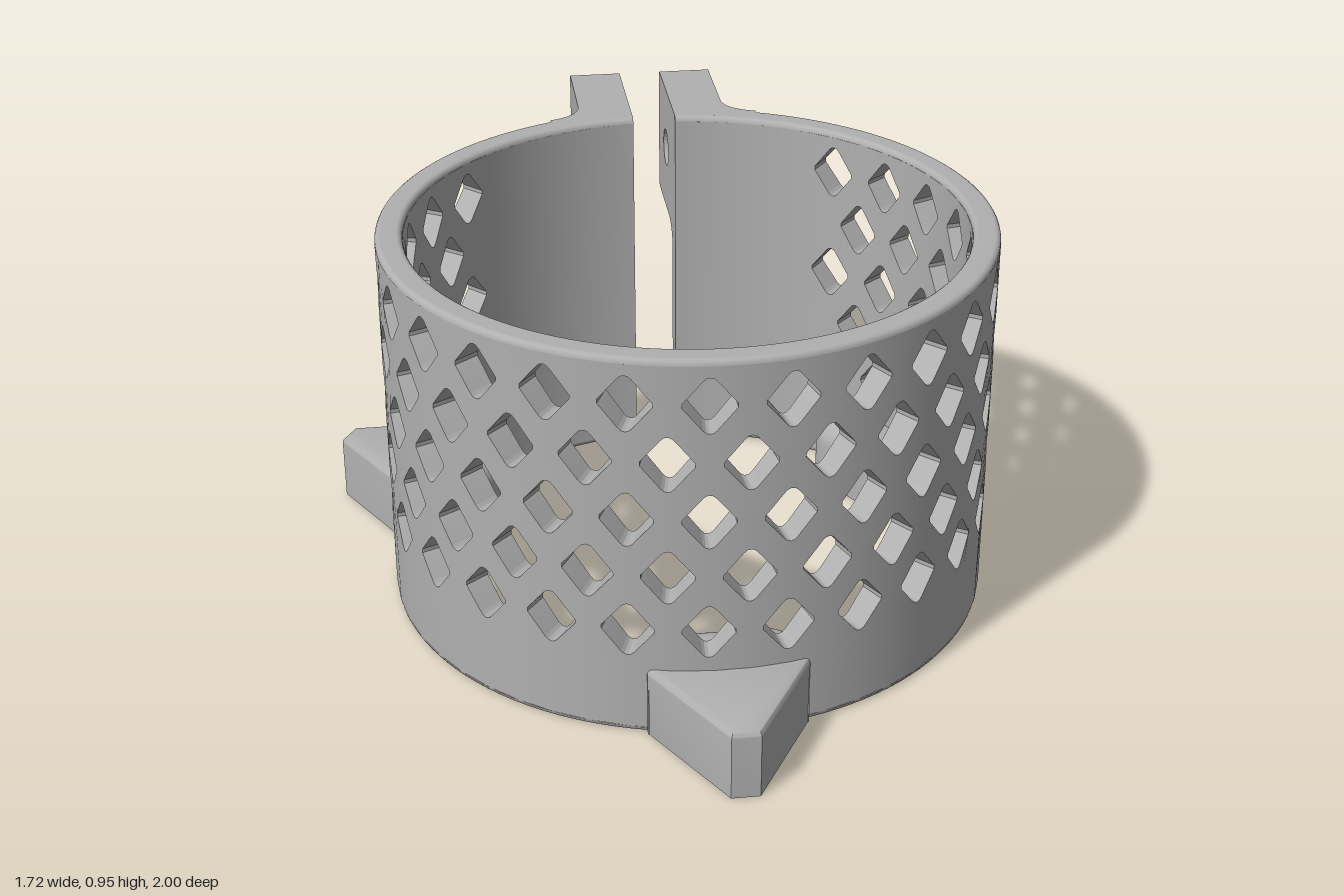
import * as THREE from 'three';
import { mergeGeometries, toCreasedNormals } from 'three/addons/utils/BufferGeometryUtils.js';

const OUTER = 0.735, INNER = 0.67, HEIGHT = 0.95, CENTRE_Z = 0.025;
const GAP = 0.055, RIM = 0.014;
const GAP_ANGLE = Math.asin(GAP / OUTER);
const rad = THREE.MathUtils.degToRad;

// Keep the clamp gap parallel-sided
function clampGap(geo) {
  const p = geo.attributes.position;
  for (let i = 0; i < p.count; i++) {
    const x = p.getX(i);
    if (p.getZ(i) < 0 && Math.abs(x) < GAP) p.setX(i, Math.sign(x) * GAP);
  }
  return geo;
}

// Wrap a flat panel (x = arc length, z = thickness) around the cylinder
function bend(geo) {
  const p = geo.attributes.position, n = geo.attributes.normal;
  for (let i = 0; i < p.count; i++) {
    const a = p.getX(i) / OUTER, r = INNER + p.getZ(i);
    const s = Math.sin(a), c = Math.cos(a), nx = n.getX(i), nz = n.getZ(i);
    p.setXYZ(i, r * s, p.getY(i), r * c);
    n.setXYZ(i, nx * c + nz * s, n.getY(i), -nx * s + nz * c);
  }
  return clampGap(geo);
}

// Half of a rounded diamond opening: [distance from its axis, height]
const upper = [[0.060, 0.005], [0.054, 0.012], [0.015, 0.059], [0.008, 0.065], [0, 0.067]];
const diamond = [...upper.map(([d, e]) => [d, -e]).reverse(), ...upper];

// One vertical strip of wall, with half openings cut into either edge
function strip(a0, a1, rows0 = [], rows1 = []) {
  const x0 = a0 * OUTER, x1 = a1 * OUTER, lo = RIM, hi = HEIGHT - RIM;
  const pts = [[x0, lo], [x1, lo]];
  rows1.forEach(y => diamond.forEach(([d, e]) => pts.push([x1 - d, y + e])));
  pts.push([x1, hi], [x0, hi]);
  [...rows0].reverse().forEach(y => diamond.forEach(([d, e]) => pts.push([x0 + d, y - e])));
  const shape = new THREE.Shape(pts.map(q => new THREE.Vector2(...q)));
  return bend(new THREE.ExtrudeGeometry(shape, { depth: OUTER - INNER, bevelEnabled: false }));
}

function wallGeometry() {
  const parts = [], half = rad(7.1), mid = rad(3.3), last = 20;
  const odd = [0.275, 0.558, 0.842], even = [0.416, 0.70];
  const rows = j => Math.abs(j) === last ? [] : j % 2 ? odd : even;
  for (let j = -last; j < last; j++)
    parts.push(strip(mid + j * half, mid + (j + 1) * half, rows(j), rows(j + 1)));
  // Plain panels on to the gap
  const end = Math.PI - GAP_ANGLE, steps = 8;
  for (const [from, to] of [[mid + last * half, end], [-end, mid - last * half]])
    for (let i = 0; i < steps; i++)
      parts.push(strip(from + (to - from) * i / steps, from + (to - from) * (i + 1) / steps));
  return mergeGeometries(parts);
}

// Rounded rim closing the top or bottom of the wall
function rimGeometry(top) {
  const pts = [];
  for (const [cx, start] of [[OUTER - RIM, 0], [INNER + RIM, 90]])
    for (let i = 0; i <= 4; i++) {
      const a = rad(start + i * 22.5);
      const y = RIM * Math.sin(a);
      pts.push(new THREE.Vector2(cx + RIM * Math.cos(a), top ? HEIGHT - RIM + y : RIM - y));
    }
  if (!top) pts.reverse();
  const sweep = 2 * (Math.PI - GAP_ANGLE);
  return clampGap(new THREE.LatheGeometry(pts, 120, -sweep / 2, sweep));
}

// One layer of a clamp ear, in side profile with a bolt opening
function earLayer(x, depth, radius, sides) {
  const s = new THREE.Shape();
  s.moveTo(0.66, 0.53);
  s.lineTo(0.70, 0.53);
  s.quadraticCurveTo(0.705, 0.612, 0.79, 0.612);
  s.lineTo(0.988, 0.612);
  s.lineTo(1, 0.624);
  s.lineTo(1, HEIGHT - 0.012);
  s.lineTo(0.988, HEIGHT);
  s.lineTo(0.66, HEIGHT);
  const hole = [];
  for (let i = 0; i < sides; i++) {
    const a = Math.PI / 2 + i / sides * Math.PI * 2;
    hole.push(new THREE.Vector2(0.845 + radius * Math.cos(a), 0.785 + radius * Math.sin(a)));
  }
  s.holes.push(new THREE.Path(hole));
  const geo = new THREE.ExtrudeGeometry(s, { depth, bevelEnabled: false });
  return geo.rotateY(Math.PI / 2).translate(x, 0, 0);
}

// Curved web blending the ear into the wall
function filletGeometry(side) {
  const s = new THREE.Shape();
  s.moveTo(side * 0.15, 0.64);
  s.lineTo(side * 0.27, 0.64);
  s.lineTo(side * 0.27, 0.659);
  s.quadraticCurveTo(side * 0.19, 0.685, side * 0.19, 0.75);
  s.lineTo(side * 0.15, 0.75);
  const geo = new THREE.ExtrudeGeometry(s, { depth: HEIGHT - 0.612, bevelEnabled: false });
  return geo.rotateX(-Math.PI / 2).translate(0, 0.612, 0);
}

// Plan shape raised from the floor with rounded upper edges
function raised(shape, height, round) {
  const geo = new THREE.ExtrudeGeometry(shape, {
    depth: height, bevelThickness: round, bevelSize: round, bevelOffset: -round,
    bevelSegments: 6, curveSegments: 8,
  });
  geo.rotateX(Math.PI / 2).translate(0, height - round, 0);
  const p = geo.attributes.position;
  for (let i = 0; i < p.count; i++) p.setY(i, Math.max(0, p.getY(i)));
  return toCreasedNormals(geo, rad(35));
}

function wedgeShape() {
  const pts = [[-0.185, 0.69], [0.185, 0.69], [0.185, 0.715], [0.033, 0.975], [-0.033, 0.975], [-0.185, 0.715]];
  return new THREE.Shape(pts.map(q => new THREE.Vector2(...q)));
}

function padShape() {
  const w = 0.185, z0 = 0.54, z1 = 0.72, r = 0.08, s = new THREE.Shape();
  s.moveTo(-w, z1);
  s.lineTo(-w, z0 + r);
  s.absarc(-w + r, z0 + r, r, Math.PI, Math.PI * 1.5, false);
  s.lineTo(w - r, z0);
  s.absarc(w - r, z0 + r, r, -Math.PI / 2, 0, false);
  s.lineTo(w, z1);
  return s;
}

export function createModel() {
  const model = new THREE.Group();
  model.name = 'ventedClampRing';
  const grey = new THREE.MeshStandardMaterial({ color: 0xb0b0b0 });
  grey.name = 'plain grey';
  const add = (parent, name, geo) => {
    const mesh = new THREE.Mesh(geo, grey);
    mesh.name = name;
    parent.add(mesh);
    return mesh;
  };

  // Perforated ring
  const ring = new THREE.Group();
  ring.name = 'ring';
  ring.position.z = CENTRE_Z;
  model.add(ring);
  add(ring, 'perforatedWall', wallGeometry());
  add(ring, 'topRim', rimGeometry(true));
  add(ring, 'bottomRim', rimGeometry(false));

  // Three feet, each an outer wedge and an inner pad
  for (let i = 0; i < 3; i++) {
    const foot = new THREE.Group();
    foot.name = 'foot' + (i + 1);
    foot.rotation.y = i * Math.PI * 2 / 3;
    ring.add(foot);
    add(foot, 'footWedge', raised(wedgeShape(), 0.172, 0.014));
    add(foot, 'footPad', raised(padShape(), 0.172, 0.06));
  }

  // Clamp ears: round bolt head recess on the left, hexagonal nut recess on the right
  add(model, 'leftEarInner', earLayer(GAP, 0.085, 0.05, 32));
  add(model, 'leftEarOuter', earLayer(0.14, 0.05, 0.09, 32));
  add(model, 'rightEarInner', earLayer(-0.14, 0.085, 0.05, 32));
  add(model, 'rightEarOuter', earLayer(-0.19, 0.05, 0.095, 6));
  add(model, 'leftEarFillet', filletGeometry(1));
  add(model, 'rightEarFillet', filletGeometry(-1));
  return model;
}
